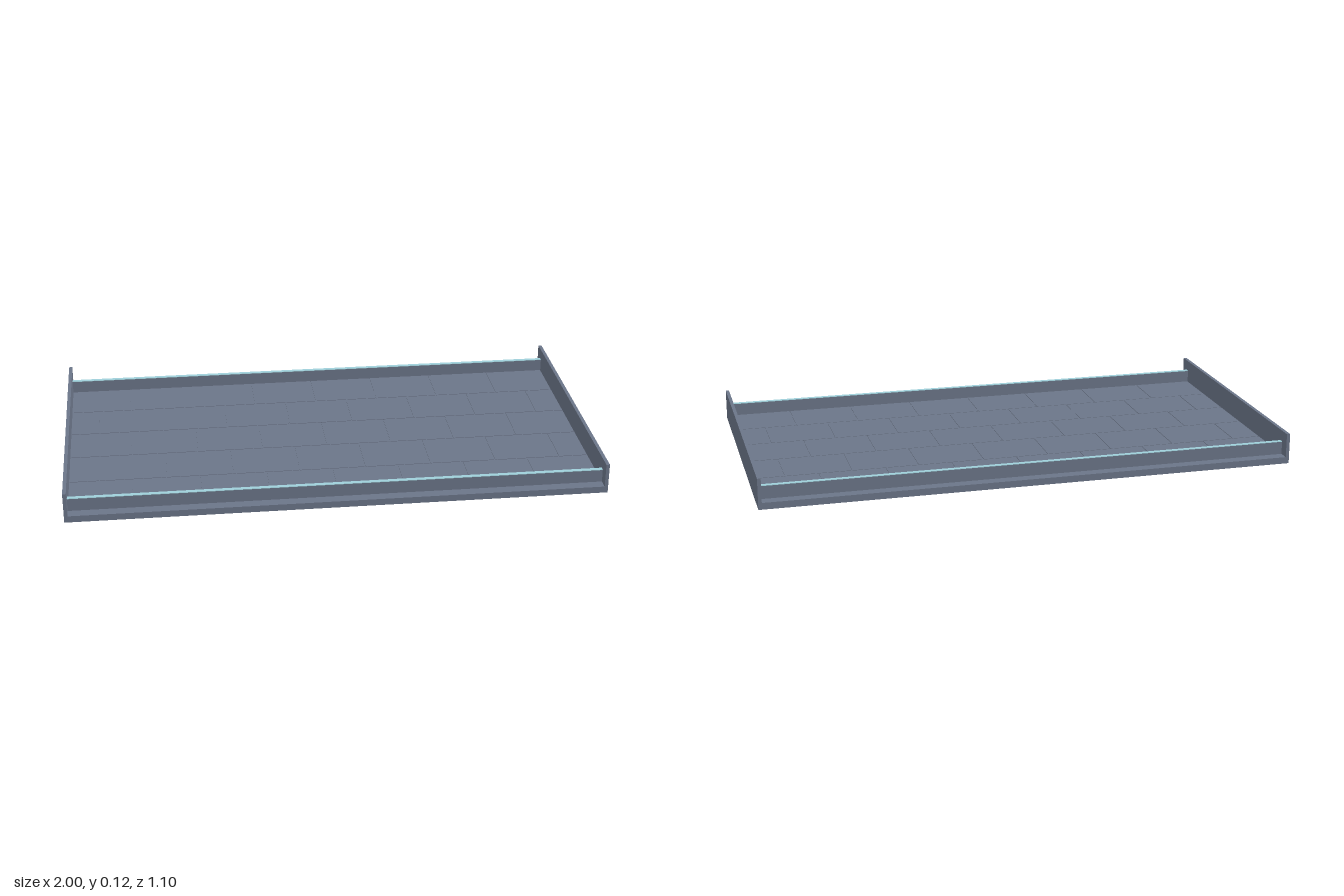
import * as THREE from 'three';

export function createModel() {
  const group = new THREE.Group();
  const slate = new THREE.MeshStandardMaterial({ color: 0x6b7588 });
  const paleBlue = new THREE.MeshStandardMaterial({ color: 0x9fd0da });

  // Box given by its centre in x and z and by its lower and upper y
  function box(name, parent, material, x, z, w, d, y0, y1) {
    const mesh = new THREE.Mesh(new THREE.BoxGeometry(w, y1 - y0, d), material);
    mesh.name = name;
    mesh.position.set(x, (y0 + y1) / 2, z);
    parent.add(mesh);
  }

  const deckTop = 0.025;
  box('deck', group, slate, 0, 0, 2, 1.098, 0, deckTop);

  for (const s of [-1, 1]) {
    // Tall end walls and the lower long rails with their pale caps
    const side = s > 0 ? 'left' : 'right';
    const end = s > 0 ? 'front' : 'back';
    box(side + 'Wall', group, slate, s * 0.9935, 0, 0.013, 1.098, deckTop, 0.116);
    box(end + 'Rail', group, slate, 0, s * 0.501, 1.974, 0.016, deckTop, 0.073);
    box(end + 'RailCap', group, paleBlue, 0, s * 0.501, 1.974, 0.016, 0.073, 0.075);
  }

  // Thin floor tiles in staggered rows, separated by narrow seams
  const tiles = new THREE.Group();
  tiles.name = 'floorTiles';
  group.add(tiles);
  const halfX = 0.987, halfZ = 0.493, rows = 5, width = 0.25, seam = 0.004;
  const depth = (2 * halfZ) / rows;
  for (let r = 0; r < rows; r++) {
    const z = -halfZ + (r + 0.5) * depth;
    const shift = (r % 2) * width / 2;
    for (let i = 0; i <= 8; i++) {
      const a = Math.max(-halfX, -1 + i * width - shift);
      const b = Math.min(halfX, -1 + (i + 1) * width - shift);
      if (b - a < 0.02) continue;
      box('floorTile', tiles, slate, (a + b) / 2, z, b - a - seam, depth - seam, deckTop, deckTop + 0.002);
    }
  }
  return group;
}
